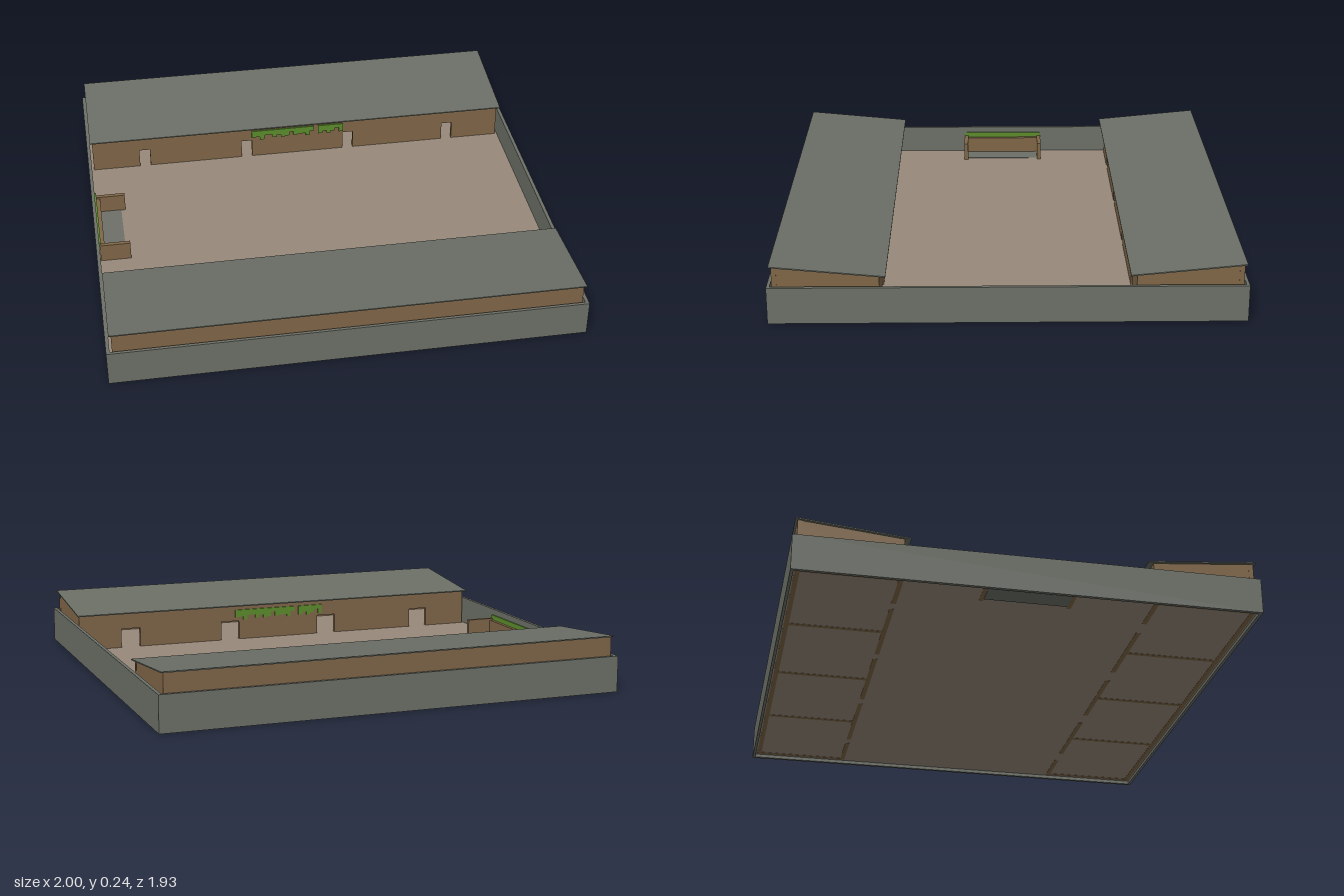
import * as THREE from 'three';

const mat = (name, color) => {
  const m = new THREE.MeshStandardMaterial({ color });
  m.name = name;
  return m;
};

export function createModel() {
  const stone = mat('grey stone', 0x6d7068);
  const slate = mat('grey roof', 0x6b6f66);
  const clay = mat('brown wall', 0x806748);
  const earth = mat('tan floor', 0x988a7c);
  const leaf = mat('green leaves', 0x5c8c2c);
  const model = new THREE.Group();
  model.name = 'walledCourtyard';

  const FLOOR = 0.03, BASE = 0.014;       // floor top, foot of the inner walls
  const add = (parent, name, geo, material) => {
    const mesh = new THREE.Mesh(geo, material);
    mesh.name = name;
    parent.add(mesh);
    return mesh;
  };
  // box given by its minimum and maximum corners
  const box = (parent, name, material, x0, x1, y0, y1, z0, z1) => {
    const mesh = add(parent, name, new THREE.BoxGeometry(x1 - x0, y1 - y0, z1 - z0), material);
    mesh.position.set((x0 + x1) / 2, (y0 + y1) / 2, (z0 + z1) / 2);
    return mesh;
  };
  const polygon = (pts) => new THREE.Shape(pts.map(([x, y]) => new THREE.Vector2(x, y)));
  const extrude = (shape, depth) => new THREE.ExtrudeGeometry(shape, { depth, bevelEnabled: false });

  // Outer enclosure, an open frame standing on the ground
  const rim = polygon([[-1, -0.965], [1, -0.965], [1, 0.965], [-1, 0.965]]);
  rim.holes.push(polygon([[-0.985, -0.952], [0.985, -0.952], [0.985, 0.952], [-0.985, 0.952]]));
  add(model, 'enclosureWall', extrude(rim, 0.155).rotateX(-Math.PI / 2), stone);

  box(model, 'floor', earth, -0.985, 0.985, 0.015, FLOOR, -0.952, 0.952);

  // Long lean-to building along the back, four rooms with one door each
  const building = (name, doorWidth) => {
    const g = new THREE.Group();
    g.name = name;
    model.add(g);
    const centres = [-0.731, -0.244, 0.244, 0.731];

    // courtyard wall, its outline stepping around the doorways
    const outline = [[-0.975, BASE]];
    for (const c of centres) {
      const h = doorWidth / 2;
      outline.push([c - h, BASE], [c - h, 0.118], [c + h, 0.118], [c + h, BASE]);
    }
    outline.push([0.975, BASE], [0.975, 0.196], [-0.975, 0.196]);
    add(g, 'doorWall', extrude(polygon(outline), 0.02), clay).position.z = -0.535;

    box(g, 'rearWall', clay, -0.975, 0.975, BASE, 0.234, -0.945, -0.925);

    // end walls and room partitions, cut to the roof slope
    const side = extrude(polygon([[0.516, BASE], [0.944, BASE], [0.944, 0.234], [0.516, 0.194]]), 0.02)
      .rotateY(Math.PI / 2);
    for (const x of [-0.974, -0.497, -0.01, 0.478, 0.954]) {
      add(g, 'crossWall', side, clay).position.x = x;
    }

    // thin sloping roof
    const slab = polygon([[0.49, 0.192], [0.955, 0.236], [0.955, 0.241], [0.49, 0.197]]);
    add(g, 'roof', extrude(slab, 1.97).rotateY(Math.PI / 2), slate).position.x = -0.985;

    // ragged creeper under the eave
    const n = 22;
    const w = 0.44 / n;
    for (let i = 0; i < n; i++) {
      if (i === 15) continue;
      const x = -0.22 + i * w;
      const low = 0.137 + 0.01 * Math.sin(i * 2.3) + 0.006 * Math.sin(i * 5.1);
      box(g, 'creeper', leaf, x, x + w, low, 0.172, -0.516, -0.508);
    }
    return g;
  };
  building('backBuilding', 0.05);
  building('frontBuilding', 0.09).rotation.y = Math.PI;

  // Small walled basin against the -x side
  const basin = new THREE.Group();
  basin.name = 'basin';
  model.add(basin);
  box(basin, 'basinBack', clay, -0.983, -0.962, BASE, 0.105, -0.19, 0.19);
  for (const s of [-1, 1]) {
    box(basin, 'basinEnd', clay, -0.983, -0.85, BASE, 0.112, s * 0.182 - 0.009, s * 0.182 + 0.009);
  }
  box(basin, 'basinBed', stone, -0.962, -0.87, 0.012, FLOOR + 0.002, -0.173, 0.173);
  box(basin, 'basinLeaves', leaf, -0.985, -0.978, 0.105, 0.128, -0.19, 0.19);

  return model;
}
